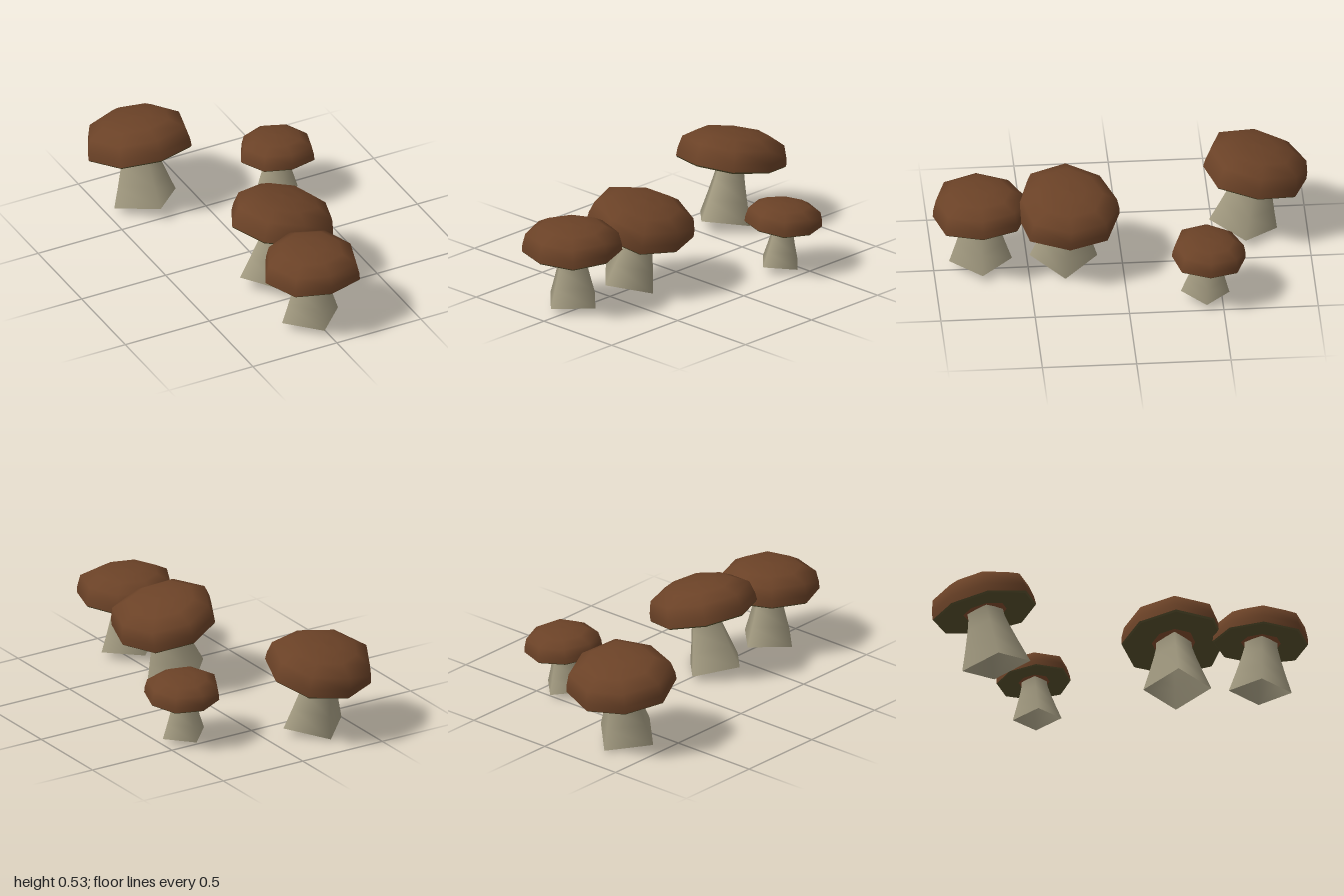
import * as THREE from 'three';

const mat = (name, color, side = THREE.FrontSide) => {
  const m = new THREE.MeshStandardMaterial({ color, side });
  m.name = name;
  return m;
};

// Radius factors of the uneven eight-sided cap, counted from the front (+z) towards +x
const LOBES = [0.97, 1.07, 1.0, 1.03, 1.0, 0.97, 1.04, 1.04];

function lathe(name, profile, sides, material, uneven = false) {
  const geo = new THREE.LatheGeometry(profile.map(([r, y]) => new THREE.Vector2(r, y)), sides);
  if (uneven) {
    const p = geo.attributes.position;
    for (let i = 0; i < p.count; i++) {
      const k = LOBES[Math.floor(i / profile.length) % sides];
      p.setX(i, p.getX(i) * k);
      p.setZ(i, p.getZ(i) * k);
    }
  }
  const mesh = new THREE.Mesh(geo, material);
  mesh.name = name;
  return mesh;
}

export function createModel() {
  const brown = mat('cap brown', 0x6b4227);
  const olive = mat('gill olive', 0x5c5430);
  const rust = mat('collar rust', 0x8a5030);
  const beige = mat('stem beige', 0xa39b81, THREE.DoubleSide);

  function mushroom(name, position, scale, tiltX, tiltZ) {
    const g = new THREE.Group();
    g.name = name;
    // Square flared stem, open at the foot
    g.add(lathe('stem', [[0.17, 0], [0.135, 0.105], [0.104, 0.205], [0.09, 0.26], [0.088, 0.305]], 4, beige));
    // Domed cap with a thin rim, gills and a collar round the stem
    g.add(lathe('cap', [[0.262, 0.291], [0.259, 0.33], [0.243, 0.392], [0.17, 0.432], [0.085, 0.446], [0, 0.45]], 8, brown, true));
    g.add(lathe('capRim', [[0.254, 0.283], [0.262, 0.291]], 8, olive, true));
    g.add(lathe('gills', [[0.11, 0.29], [0.254, 0.283]], 8, olive, true));
    g.add(lathe('collar', [[0, 0.3], [0.11, 0.29]], 8, rust, true));
    g.position.set(...position);
    g.scale.setScalar(scale);
    g.rotation.set(tiltX, 0, tiltZ);
    return g;
  }

  const model = new THREE.Group();
  model.name = 'mushrooms';
  model.add(
    mushroom('frontMushroom', [-0.03, 0.045, 0.75], 0.98, 0.015, 0),
    mushroom('middleMushroom', [-0.042, 0.045, 0.31], 1.06, -0.05, -0.22),
    mushroom('smallMushroom', [0.37, 0.043, -0.41], 0.76, -0.07, -0.04),
    mushroom('backMushroom', [-0.28, 0.045, -0.66], 1.08, -0.19, 0.04),
  );
  return model;
}
